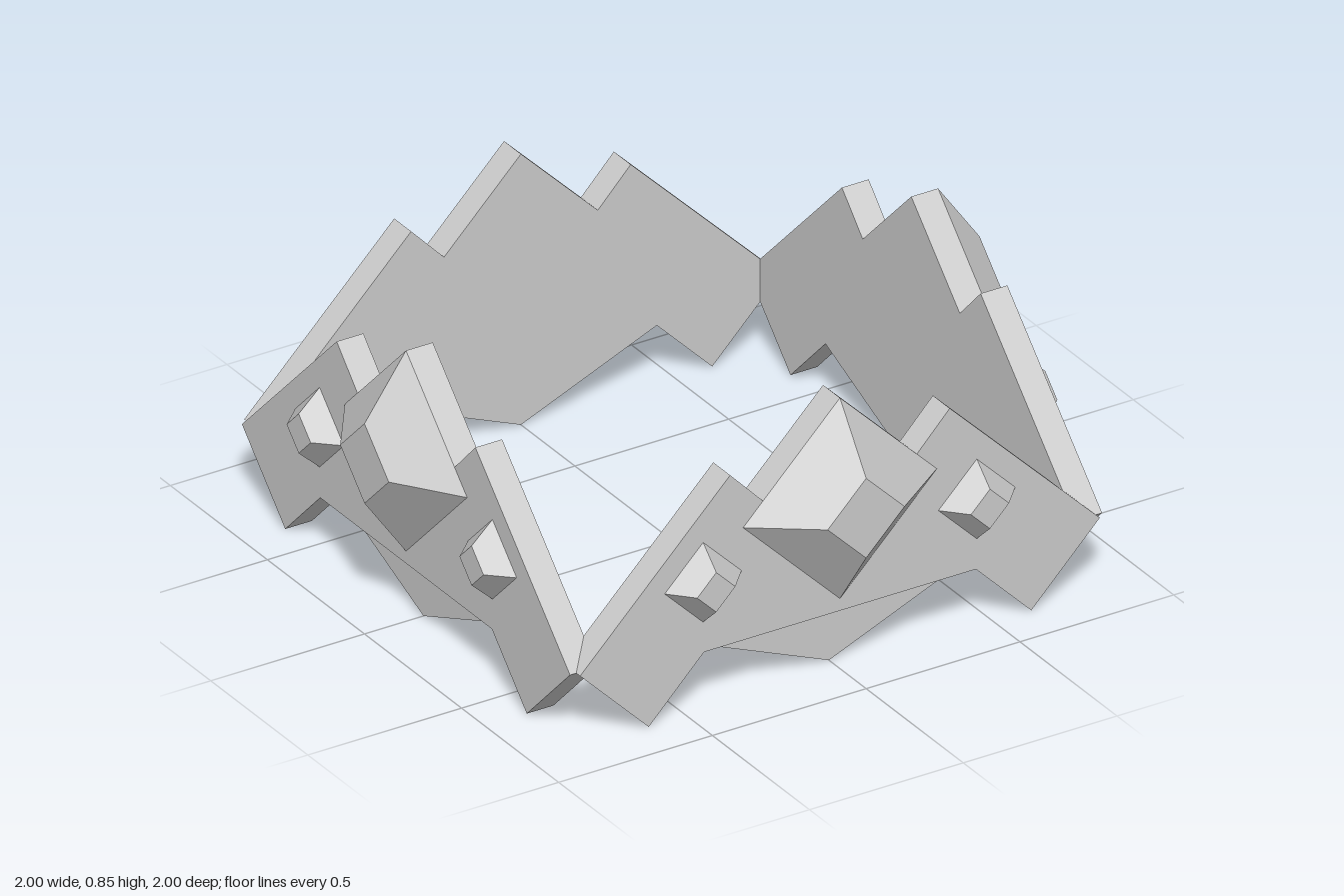
import * as THREE from 'three';

const INNER = 0.778, OUTER = 0.865;

const grey = new THREE.MeshStandardMaterial({ color: 0xcccccc, flatShading: true });
grey.name = 'plain grey';

function add(parent, name, geometry) {
  const mesh = new THREE.Mesh(geometry, grey);
  mesh.name = name;
  parent.add(mesh);
}

// Flat slab from an outline, standing between two depths
function slab(points, back, front) {
  const shape = new THREE.Shape(points.map(([x, y]) => new THREE.Vector2(x, y)));
  const geometry = new THREE.ExtrudeGeometry(shape, { depth: front - back, bevelEnabled: false });
  return geometry.translate(0, 0, back);
}

// Diamond-shaped stud: a blunt four-sided pyramid facing +z
function stud(x, y, baseRadius, topRadius, height) {
  return new THREE.CylinderGeometry(topRadius, baseRadius, height, 4)
    .rotateX(Math.PI / 2)
    .translate(x, y, OUTER + height / 2);
}

function createSide() {
  const side = new THREE.Group();

  // One half of the zigzag plate, from beside the top peak down to the lower notch
  const half = [[0.25, 0.6], [0.357, 0.712], [0.845, 0.225], [0.622, 0], [0.442, 0.182]];
  const otherHalf = half.map(([x, y]) => [-x, y]);
  add(side, 'plate', slab([[0, 0.85], ...otherHalf, ...half.reverse()], INNER, OUTER));

  // Thin recessed triangle hanging below, flush with the inside
  add(side, 'lowerFlap', slab([[-0.442, 0.182], [0, 0], [0.442, 0.182]], INNER, INNER + 0.03));

  add(side, 'largeStud', stud(0, 0.535, 0.315, 0.125, 0.135));
  for (const s of [-1, 1]) {
    add(side, s > 0 ? 'leftSmallStud' : 'rightSmallStud', stud(s * 0.445, 0.402, 0.125, 0.062, 0.068));
  }
  return side;
}

export function createModel() {
  const model = new THREE.Group();
  model.name = 'studdedCrown';
  // Four equal sides around a square
  ['frontSide', 'leftSide', 'backSide', 'rightSide'].forEach((name, i) => {
    const side = createSide();
    side.name = name;
    side.rotation.y = i * Math.PI / 2;
    model.add(side);
  });
  return model;
}
